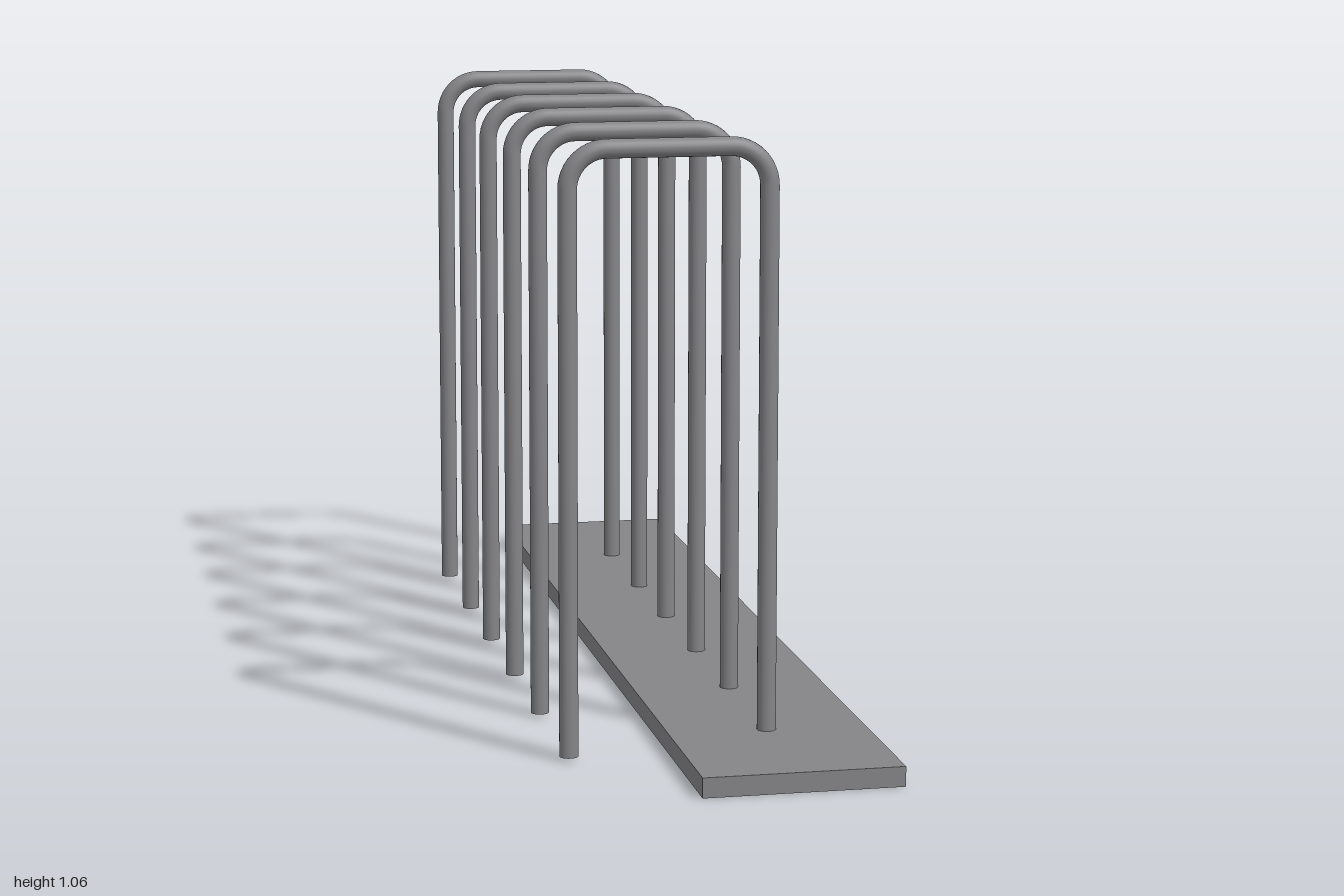
import * as THREE from 'three';

export function createModel() {
  const model = new THREE.Group();
  const steel = new THREE.MeshStandardMaterial({ color: 0x858588 });
  steel.name = 'steel grey';

  const add = (parent, name, geometry, x, y, z = 0) => {
    const mesh = new THREE.Mesh(geometry, steel);
    mesh.name = name;
    mesh.position.set(x, y, z);
    parent.add(mesh);
    return mesh;
  };

  // Long flat base plate, offset to one side of the hoops
  add(model, 'basePlate', new THREE.BoxGeometry(0.347, 0.035, 2), 0.0945, 0.0175);

  // Hoop dimensions, measured on the tube's centre line
  const r = 0.0165, bend = 0.067, sides = 20;
  const outerX = -0.2535, innerX = 0.0935, topY = 1.0475, footY = 0.006;
  const legTop = topY - bend;
  const legHeight = legTop - footY;
  const barLength = innerX - outerX - 2 * bend;

  const legGeometry = new THREE.CylinderGeometry(r, r, legHeight, sides);
  const barGeometry = new THREE.CylinderGeometry(r, r, barLength, sides, 1, true).rotateZ(Math.PI / 2);
  const bendGeometry = new THREE.TorusGeometry(bend, r, sides, 12, Math.PI / 2);

  // Row of six bent-tube hoops
  [0.73, 0.441, 0.165, -0.111, -0.376, -0.668].forEach((z, i) => {
    const hoop = new THREE.Group();
    hoop.name = `hoop${i + 1}`;
    hoop.position.z = z;
    add(hoop, 'freeLeg', legGeometry, outerX, footY + legHeight / 2);
    add(hoop, 'mountedLeg', legGeometry, innerX, footY + legHeight / 2);
    add(hoop, 'topBar', barGeometry, (outerX + innerX) / 2, topY);
    add(hoop, 'leftBend', bendGeometry, innerX - bend, legTop);
    add(hoop, 'rightBend', bendGeometry, outerX + bend, legTop).rotation.z = Math.PI / 2;
    model.add(hoop);
  });

  return model;
}
